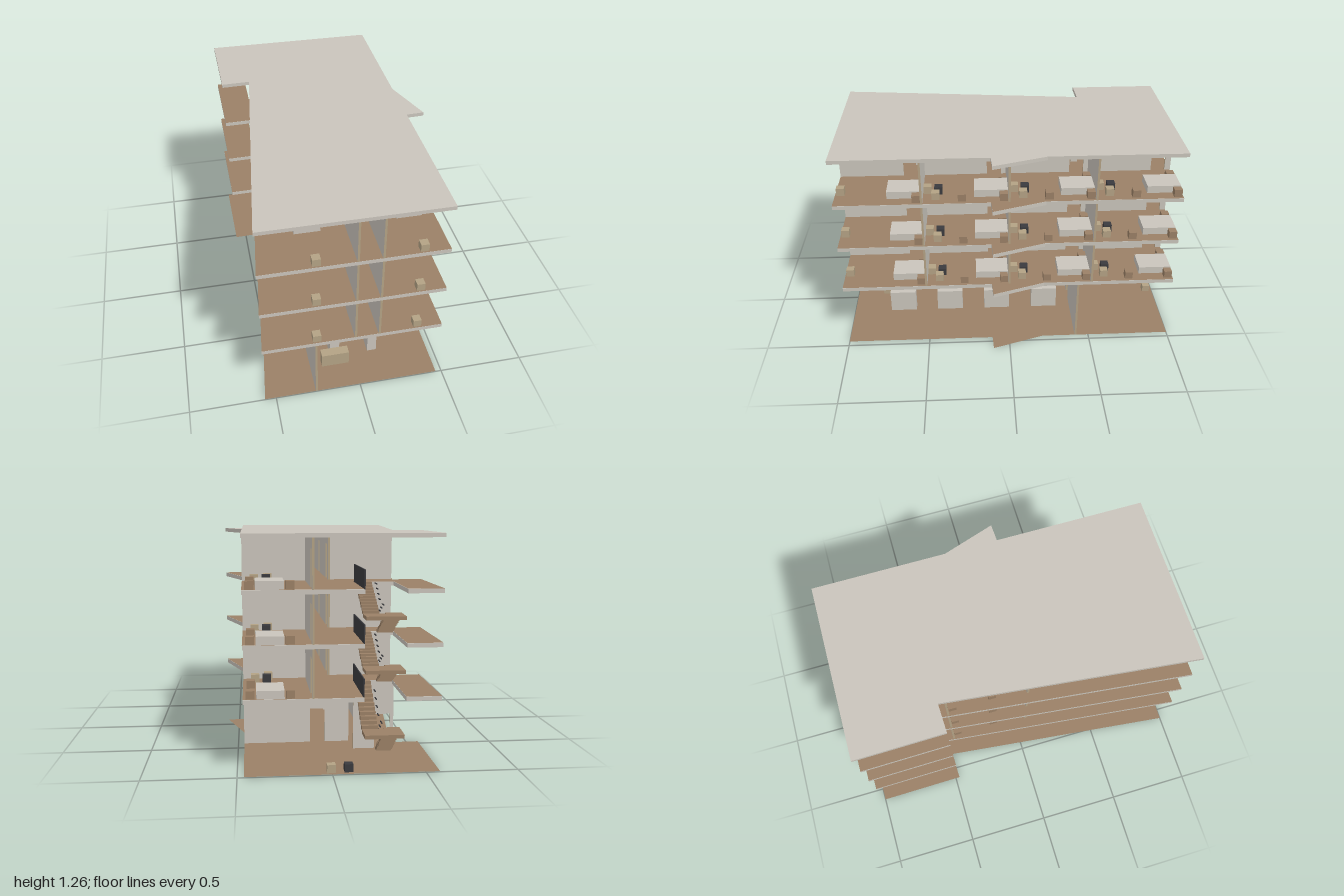
import * as THREE from 'three';

const mat = (name, color) => {
  const m = new THREE.MeshStandardMaterial({ color });
  m.name = name;
  return m;
};

// Plan outlines as [x, z] corners
const SIDE = [[0.465, -1], [0.465, -0.21], [0.57, 0.1], [0.465, 0.105], [0.465, 1], [-0.565, 1], [-0.4, -0.48], [-0.57, -0.475], [-0.575, -1]];
const STAIRWELL = [[-0.385, -1], [-0.385, -0.6], [-0.165, -0.6], [-0.165, -1]];

const planShape = (pts) => new THREE.Shape(pts.map(([x, z]) => new THREE.Vector2(x, -z)));

export function createModel() {
  const model = new THREE.Group();
  model.name = 'openFrontedBuilding';
  const stone = mat('pale stone', 0xc9c4bb);
  const brown = mat('brown wood', 0x9a8066);
  const tan = mat('tan wood', 0xb3a284);
  const dark = mat('charcoal', 0x3a3a3e);
  const floorMat = mat('brown floor', 0x9a8066);
  floorMat.side = THREE.DoubleSide;

  const group = (name, parent = model) => {
    const g = new THREE.Group();
    g.name = name;
    parent.add(g);
    return g;
  };

  // Box given by its minimum and maximum corners
  const box = (parent, name, material, x0, x1, y0, y1, z0, z1) => {
    const m = new THREE.Mesh(new THREE.BoxGeometry(x1 - x0, y1 - y0, z1 - z0), material);
    m.position.set((x0 + x1) / 2, (y0 + y1) / 2, (z0 + z1) / 2);
    m.name = name;
    parent.add(m);
    return m;
  };

  const slab = (name, pts, y, h) => {
    const geo = new THREE.ExtrudeGeometry(planShape(pts), { depth: h, bevelEnabled: false });
    geo.rotateX(-Math.PI / 2);
    const m = new THREE.Mesh(geo, stone);
    m.position.y = y;
    m.name = name;
    model.add(m);
  };

  const floorSheet = (name, pts, y) => {
    const geo = new THREE.ShapeGeometry(planShape(pts));
    geo.rotateX(-Math.PI / 2);
    const m = new THREE.Mesh(geo, floorMat);
    m.position.y = y;
    m.name = name;
    model.add(m);
  };

  // Wall along one axis with tan ends; doors are [from, to] openings under a lintel
  const T = 0.006;
  const wall = (parent, name, axis, at, from, to, y0, y1, doors = []) => {
    const ends = axis === 'x' ? [tan, tan, stone, stone, stone, stone] : [stone, stone, stone, stone, tan, tan];
    const piece = (a, b, lo, label, m) => axis === 'x'
      ? box(parent, label, m, a, b, lo, y1, at - T, at + T)
      : box(parent, label, m, at - T, at + T, lo, y1, a, b);
    let start = from;
    for (const [a, b] of doors) {
      piece(start, a, y0, name, ends);
      piece(a, b, y0 + 0.203, name + 'Lintel', stone);
      start = b;
    }
    piece(start, to, y0, name, ends);
  };

  // Small cube of furniture centred on x, z
  const cube = (parent, name, material, x, z, y) =>
    box(parent, name, material, x - 0.023, x + 0.023, y, y + 0.045, z - 0.023, z + 0.023);

  // Slabs, floors and roof
  const TOPS = [0.41, 0.693, 0.975];
  const H = 0.023;
  const storeyPlan = [...SIDE, ...STAIRWELL];
  floorSheet('groundFloor', SIDE, 0);
  TOPS.forEach((y) => {
    slab('floorSlab', storeyPlan, y - H, H);
    floorSheet('floorCovering', storeyPlan, y + 0.001);
  });
  slab('roof', SIDE, 1.236, 0.022);

  // Ground floor walls
  const lobby = group('lobby');
  const lobbyTop = TOPS[0] - H;
  wall(lobby, 'longWall', 'z', -0.26, -0.57, 1, 0, lobbyTop);
  wall(lobby, 'rearWall', 'x', -0.42, -0.157, 0.465, 0, lobbyTop, [[-0.013, 0.073]]);
  wall(lobby, 'stairWall', 'x', -0.57, -0.4, -0.165, 0, lobbyTop, [[-0.38, -0.288]]);

  // Ground floor furniture
  for (const x of [-0.103, 0.129]) {
    for (const z of [0.68, 0.375, 0.068, -0.243]) {
      box(lobby, 'displayBlock', stone, x - 0.028, x + 0.028, -0.001, 0.14, z - 0.082, z + 0.082);
    }
  }
  box(lobby, 'receptionDesk', tan, -0.195, -0.03, -0.001, 0.09, 0.775, 0.83);
  cube(lobby, 'tanStool', tan, 0.004, -0.958, -0.001);
  cube(lobby, 'darkStool', dark, -0.09, -0.952, -0.001);

  // One bedroom: back = z of the wall behind the bed, depth = room depth
  const bedroom = (parent, s, back, depth, y, first) => {
    const room = group('bedroom', parent);
    const mid = s > 0 ? 0.322 : -0.253;
    box(room, 'bed', stone, mid - 0.073, mid + 0.073, y, y + 0.045, back + T, back + 0.2);
    cube(room, 'nightstand', brown, mid - 0.104, back + 0.031, y);
    cube(room, 'nightstand', brown, mid + 0.104, back + 0.031, y);
    cube(room, 'sideTable', tan, mid, back + depth - 0.032, y);
    if (first) return;
    cube(room, 'footStool', brown, mid + s * 0.1, back + 0.27, y);
    cube(room, 'chair', tan, mid + s * 0.075, back + depth - 0.08, y);
    cube(room, 'darkChair', dark, mid + s * 0.01, back + depth - 0.095, y);
  };

  // Three storeys of rooms either side of a corridor
  TOPS.forEach((y, i) => {
    const storey = group('storey');
    const top = i < 2 ? TOPS[i + 1] - H : 1.236;
    const rightBacks = [-1, -0.5, 0, 0.5];
    const leftBacks = [-0.44, 0.04, 0.52];
    const door = (z) => [z + 0.035, z + 0.12];
    wall(storey, 'corridorWall', 'z', 0.101, -1, 1, y, top, rightBacks.map(door));
    wall(storey, 'corridorWall', 'z', -0.035, -0.446, 1, y, top, leftBacks.map(door));
    rightBacks.forEach((z) => {
      if (z > -1) wall(storey, 'partition', 'x', z, 0.107, 0.465, y, top);
      bedroom(storey, 1, z, 0.5, y, z === 0.5);
    });
    leftBacks.forEach((z) => {
      wall(storey, 'partition', 'x', z, -0.4, -0.041, y, top);
      bedroom(storey, -1, z, 0.48, y, z === 0.52);
    });
    box(storey, 'stairwellParapet', dark, -0.165, -0.159, y, y + 0.1, -1, -0.6);
  });

  // Staircases: a flight back to a landing, then a flight forward
  const STEPS = 11;
  const run = 0.28 / STEPS;
  [0, TOPS[0], TOPS[1]].forEach((y, i) => {
    const stair = group('staircase');
    const half = (TOPS[i] - y) / 2;
    const rise = half / STEPS;
    for (let k = 0; k < STEPS; k++) {
      const up = y + (k + 1) * rise;
      const zA = -0.6 - k * run;
      const zB = -0.88 + k * run;
      box(stair, 'lowerStep', brown, -0.38, -0.292, up - rise * 1.2, up, zA - run * 1.2, zA);
      box(stair, 'upperStep', brown, -0.258, -0.17, up + half - rise * 1.2, up + half, zB, zB + run * 1.2);
    }
    box(stair, 'landing', brown, -0.38, -0.17, y + half - 0.02, y + half, -1, -0.88);
    // Short handrail bars beside each flight
    for (let k = 0; k < 4; k++) {
      const z = -0.615 - k * 0.05;
      const lowY = y + 0.1 + k * 0.17 * half;
      const highY = y + half + 0.07 + k * 0.17 * half;
      box(stair, 'handrailBar', dark, -0.3, -0.294, lowY, lowY + 0.005, z - 0.024, z + 0.024);
      box(stair, 'handrailBar', dark, -0.265, -0.259, highY, highY + 0.005, -0.879 + k * 0.04, -0.831 + k * 0.04);
    }
  });

  return model;
}
